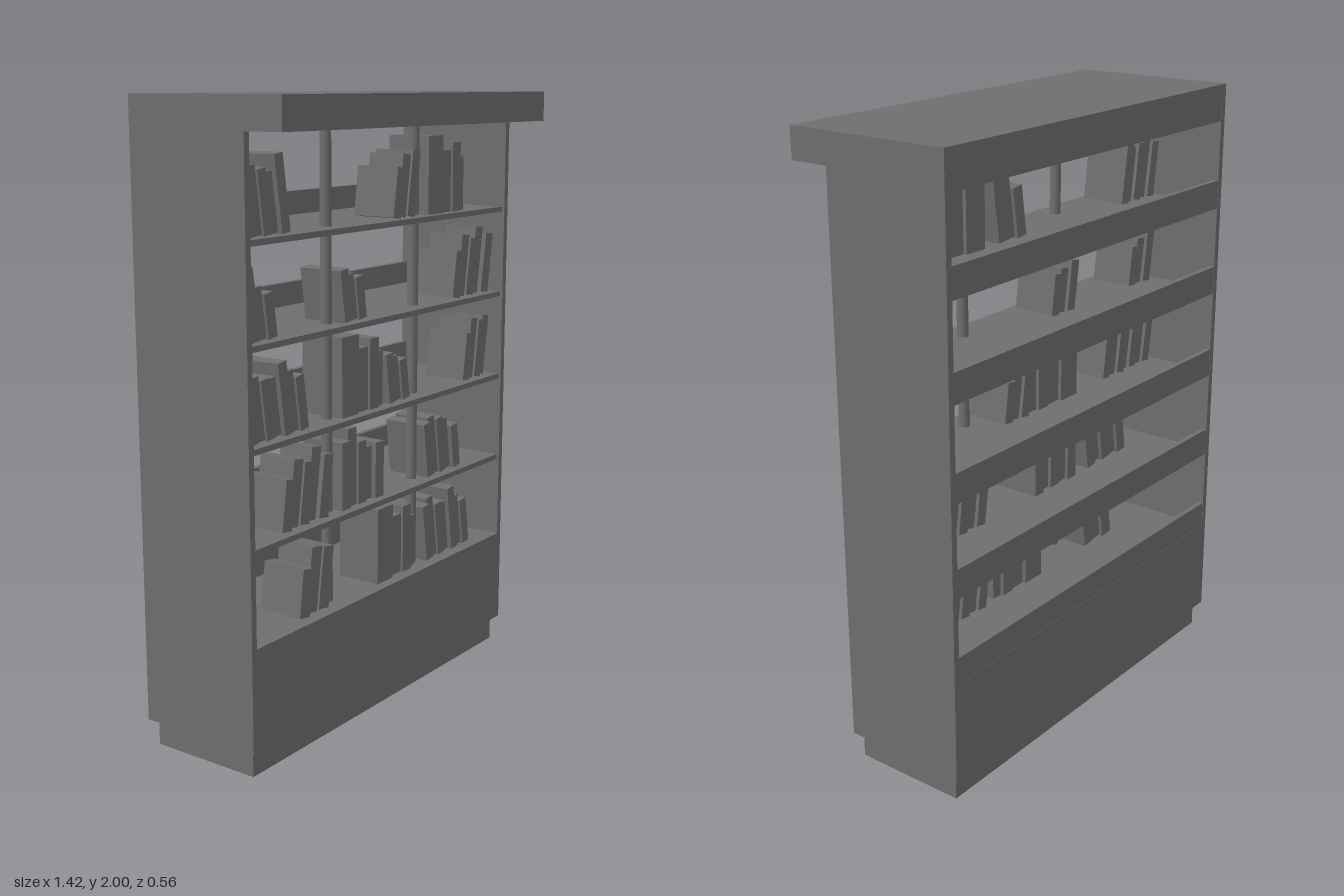
import * as THREE from 'three';

const paint = new THREE.MeshStandardMaterial({ color: 0x6e6e6e });

// Box given by its min and max limits on each axis
function block(parent, name, [x0, x1], [y0, y1], [z0, z1]) {
  const mesh = new THREE.Mesh(new THREE.BoxGeometry(x1 - x0, y1 - y0, z1 - z0), paint);
  mesh.position.set((x0 + x1) / 2, (y0 + y1) / 2, (z0 + z1) / 2);
  mesh.name = name;
  parent.add(mesh);
}

const W = 0.712, IN = 0.69;          // outer and inner half widths
const BACK = -0.28, FRONT = 0.147, CANOPY = 0.28;
const BASE = 0.086, LIP = 1.902;     // underside of the base and of the canopy
const SHELF = 0.018;
const RAIL = [BACK + 0.001, BACK + 0.02];
const floors = [0.412, 0.711, 1.01, 1.308, 1.606]; // shelf tops, bottom to top
const LEAN = 0.145;

// Rows of books: shelf, base start and end, lean (1 left, -1 right, 0 upright), heights
const rows = [
  [4, -0.657, -0.465, 1, [0.185, 0.20, 0.19, 0.18, 0.23]],
  [4, 0.058, 0.187, -1, [0.16, 0.20, 0.21]],
  [4, 0.26, 0.5, 0, [0.255, 0.205, 0.23, 0.18]],
  [3, -0.648, -0.525, 1, [0.215, 0.155, 0.135]],
  [3, -0.20, -0.08, 1, [0.165, 0.145, 0.135]],
  [3, 0.418, 0.648, -1, [0.16, 0.21, 0.195, 0.23, 0.205]],
  [2, -0.657, -0.38, 1, [0.18, 0.195, 0.185, 0.18, 0.225, 0.19, 0.17]],
  [2, -0.217, 0.025, 0, [0.255, 0.205, 0.23, 0.18]],
  [2, 0.045, 0.165, 1, [0.165, 0.15, 0.135]],
  [2, 0.492, 0.655, -1, [0.165, 0.21, 0.20, 0.21]],
  [1, -0.52, -0.292, -1, [0.16, 0.21, 0.195, 0.23, 0.20]],
  [1, -0.217, 0.01, 0, [0.22, 0.255, 0.205, 0.175, 0.185]],
  [1, 0.275, 0.482, 1, [0.19, 0.205, 0.195, 0.18, 0.155]],
  [0, -0.44, -0.287, -1, [0.155, 0.21, 0.20]],
  [0, -0.022, 0.217, 0, [0.255, 0.205, 0.23, 0.18]],
  [0, 0.275, 0.555, 1, [0.20, 0.22, 0.19, 0.18, 0.23, 0.185, 0.165]],
];

function bookRow([shelf, from, to, lean, heights]) {
  const row = new THREE.Group();
  row.name = 'bookRow';
  const n = heights.length;
  let x = from;
  heights.forEach((h, i) => {
    // Upright sets of four go from thick to thin
    const share = lean === 0 && n === 4 ? [0.36, 0.28, 0.2, 0.16][i] : 1 / n;
    const step = (to - from) * share;
    const w = step * Math.cos(LEAN * lean);
    // Spines are staggered a little in depth
    const inset = [0, 0.012, 0.004, 0.016][i % 4];
    // Pivot sits on the corner that touches the shelf
    const pivot = new THREE.Group();
    pivot.name = 'book';
    pivot.position.set(lean < 0 ? x + step : x, floors[shelf], 0);
    pivot.rotation.z = lean * LEAN;
    block(pivot, 'bookBlock', lean < 0 ? [-w, 0] : [0, w], [0, h], [inset - 0.045, 0.11 - inset]);
    row.add(pivot);
    x += step;
  });
  return row;
}

export function createModel() {
  const model = new THREE.Group();
  model.name = 'bookcase';

  // Side panels with the forward step of the canopy
  const outline = new THREE.Shape([
    [BACK, BASE], [FRONT, BASE], [FRONT, LIP], [CANOPY, LIP], [CANOPY, 2], [BACK, 2],
  ].map(([z, y]) => new THREE.Vector2(-z, y)));
  for (const x of [-W, IN]) {
    const side = new THREE.Mesh(
      new THREE.ExtrudeGeometry(outline, { depth: W - IN, bevelEnabled: false }), paint);
    side.rotation.y = Math.PI / 2;
    side.position.x = x;
    side.name = 'sidePanel';
    model.add(side);
  }

  // Canopy: top board and front fascia, open underneath
  block(model, 'topBoard', [-IN, IN], [1.975, 2], [BACK, CANOPY]);
  block(model, 'canopyFascia', [-IN, IN], [LIP, 1.975], [CANOPY - 0.022, CANOPY]);
  block(model, 'topBackRail', [-IN, IN], [1.88, 1.975], RAIL);

  // Closed base panels, front and back
  block(model, 'baseFront', [-IN, IN], [BASE, floors[0]], [FRONT - 0.025, FRONT]);
  block(model, 'baseBack', [-IN, IN], [BASE, floors[0]], [BACK, BACK + 0.025]);

  // Plinth: thin frame, open at the bottom and reaching up inside the base
  const t = 0.006, zb = -0.257, zf = 0.125, px = 0.689;
  for (const z of [zb, zf - t]) block(model, 'plinthBoard', [-px, px], [0, 0.39], [z, z + t]);
  for (const x of [-px, px - t]) block(model, 'plinthEnd', [x, x + t], [0, 0.39], [zb + t, zf - t]);

  // Shelves, back rails and posts
  floors.forEach((y, i) => {
    const depth = i === 0 ? [BACK + 0.025, FRONT - 0.025] : [RAIL[0], 0.138];
    block(model, 'shelf', [-IN, IN], [y - SHELF, y], depth);
    block(model, 'backRail', [-IN, IN], [y, y + (i === 0 ? 0.088 : 0.077)], RAIL);
    const top = i < 4 ? floors[i + 1] - SHELF : 1.975;
    for (const x of [-0.239, 0.239]) {
      const post = new THREE.Mesh(new THREE.CylinderGeometry(0.018, 0.018, top - y, 16), paint);
      post.position.set(x, (y + top) / 2, 0.065);
      post.name = 'post';
      model.add(post);
    }
  });

  // Books
  for (const row of rows) model.add(bookRow(row));
  return model;
}
